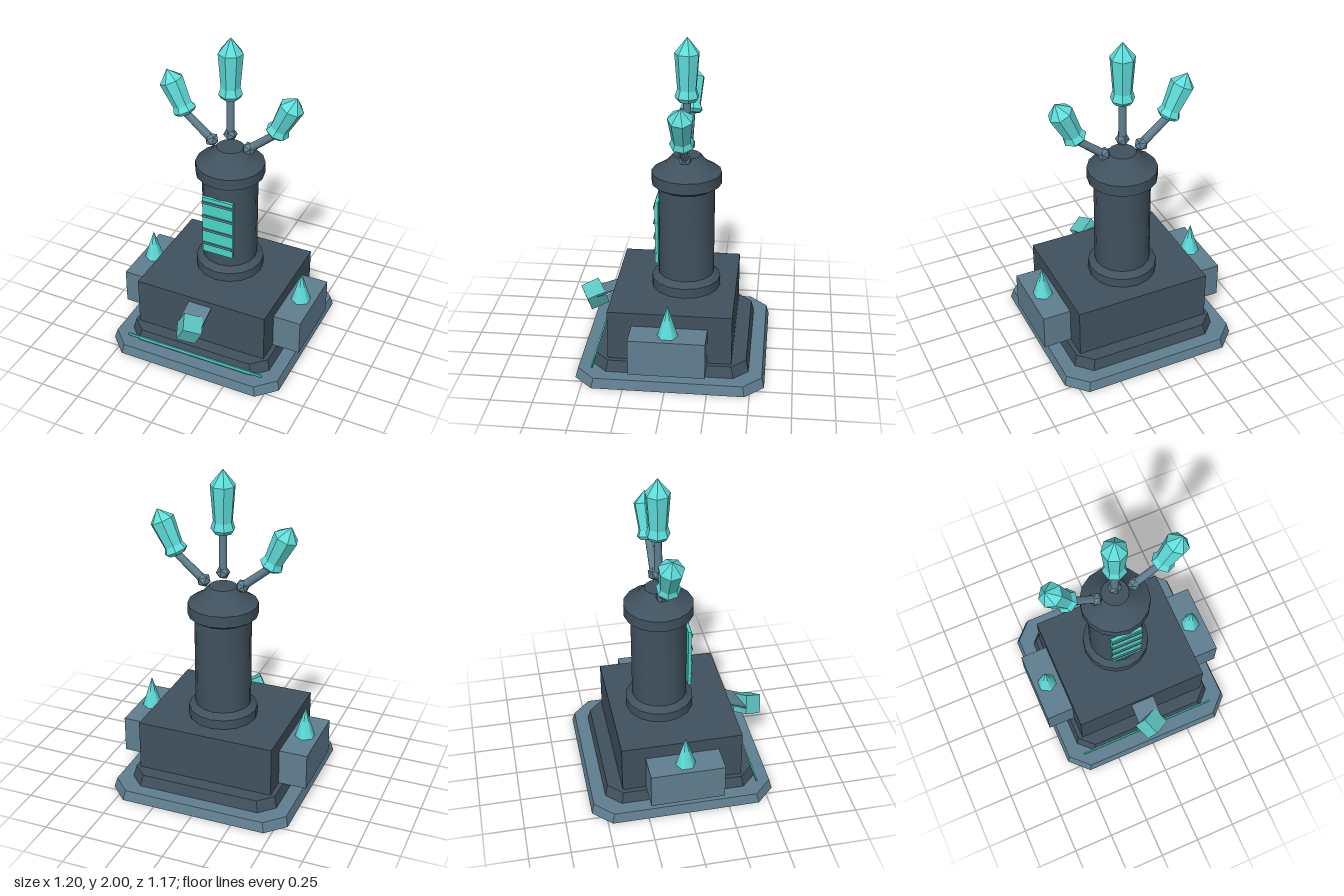
import * as THREE from 'three';
import { toCreasedNormals } from 'three/addons/utils/BufferGeometryUtils.js';

const mat = (name, color) => {
  const m = new THREE.MeshStandardMaterial({ color });
  m.name = name;
  return m;
};

export function createModel() {
  const root = new THREE.Group();
  const dark = mat('dark slate', 0x40525f);
  const light = mat('light slate', 0x607f90);
  const crystal = mat('cyan crystal', 0x5fdedb);
  const glow = mat('teal glow', 0x48d6c6);
  const cubeMat = mat('dull cyan', 0x5cc4c0);

  const add = (name, geo, material, x = 0, y = 0, z = 0, parent = root) => {
    const m = new THREE.Mesh(geo, material);
    m.name = name;
    m.position.set(x, y, z);
    parent.add(m);
    return m;
  };
  const box = (w, h, d) => new THREE.BoxGeometry(w, h, d);
  const flat = (geo) => {
    const g = geo.index ? geo.toNonIndexed() : geo;
    g.computeVertexNormals();
    return g;
  };
  const lathe = (pts, n) =>
    new THREE.LatheGeometry(pts.map(([r, y]) => new THREE.Vector2(r, y)), n);

  // Square slab with cut corners, narrowing slightly at the top
  const slab = (half, cut, h, top) => {
    const a = half, b = half - cut;
    const shape = new THREE.Shape(
      [[a, -b], [a, b], [b, a], [-b, a], [-a, b], [-a, -b], [-b, -a], [b, -a]]
        .map(([x, y]) => new THREE.Vector2(x, y)));
    const g = new THREE.ExtrudeGeometry(shape, { depth: h, bevelEnabled: false });
    g.rotateX(-Math.PI / 2);
    const p = g.attributes.position;
    for (let i = 0; i < p.count; i++) {
      if (p.getY(i) > h / 2) p.setXYZ(i, p.getX(i) * top, h, p.getZ(i) * top);
    }
    return flat(g);
  };

  // Stepped base
  add('basePlate', slab(0.567, 0.112, 0.06, 0.972), light, 0, 0, -0.017);
  add('baseStep', slab(0.469, 0.088, 0.07, 0.965), dark, 0, 0.06, -0.018);
  add('lightStrip', box(0.91, 0.016, 0.008), glow, 0, 0.08, 0.45);
  add('body', box(0.85, 0.31, 0.74), dark, 0, 0.285, -0.015);

  // Side blocks with spikes
  for (const s of [-1, 1]) {
    const side = s > 0 ? 'left' : 'right';
    add(side + 'Block', box(0.177, 0.225, 0.452), light, s * 0.509, 0.2425, -0.015);
    add(side + 'Spike', new THREE.ConeGeometry(0.062, 0.197, 6), crystal, s * 0.51, 0.4525, -0.015);
  }

  // Column with flared foot and collar
  const column = lathe([[0.21, 0.44], [0.21, 0.5], [0.17, 0.53], [0.17, 1.09],
    [0.21, 1.115], [0.21, 1.185], [0.13, 1.235], [0.083, 1.29], [0, 1.29]], 16);
  add('column', toCreasedNormals(column, 0.65), dark, 0, 0, -0.075);

  // Glowing panel and its bars
  add('panel', box(0.2, 0.395, 0.02), glow, 0, 0.8125, 0.096);
  for (const y of [0.68, 0.78, 0.88, 0.977]) {
    add('panelBar', box(0.2, 0.015, 0.02), light, 0, y, 0.105);
  }

  // Sloping tray holding a tilted cube
  const tray = add('tray', box(0.152, 0.012, 0.16), light, 0, 0.38, 0.4);
  tray.rotation.x = 0.38;
  const cube = add('cube', box(0.118, 0.118, 0.118), cubeMat, 0, 0.327, 0.497);
  cube.rotation.set(0.36, 0.37, -0.54);

  // Arms: joint, rod and faceted crystal; stretch scales the crystal's length
  const arm = (name, joint, end, tilt, stretch) => {
    const g = new THREE.Group();
    g.name = name;
    g.position.z = -0.075;
    root.add(g);
    const a = new THREE.Vector3(...joint, 0), b = new THREE.Vector3(...end, 0);
    const dir = b.clone().sub(a);
    const len = dir.length();
    const turn = new THREE.Quaternion().setFromUnitVectors(
      new THREE.Vector3(0, 1, 0), dir.clone().normalize());
    const ball = add('joint', new THREE.IcosahedronGeometry(0.043, 0), light, a.x, a.y, 0, g);
    ball.quaternion.copy(turn);
    const mid = a.clone().add(b).multiplyScalar(0.5);
    const rod = add('rod', new THREE.CylinderGeometry(0.023, 0.026, len + 0.03, 8),
      light, mid.x, mid.y, 0, g);
    rod.quaternion.copy(turn);
    const tip = flat(lathe([[0, 0], [0.055, 0.005], [0.073, 0.03], [0.058, 0.075],
      [0.075, 0.29], [0, 0.385]], 7));
    const c = add('crystal', tip, crystal, b.x, b.y, 0, g);
    c.scale.y = stretch;
    c.rotation.z = tilt;
  };
  arm('centreArm', [0, 1.375], [0, 1.615], 0, 1);
  arm('leftArm', [0.122, 1.307], [0.287, 1.445], -0.44, 0.765);
  arm('rightArm', [-0.122, 1.307], [-0.287, 1.445], 0.44, 0.765);

  return root;
}
